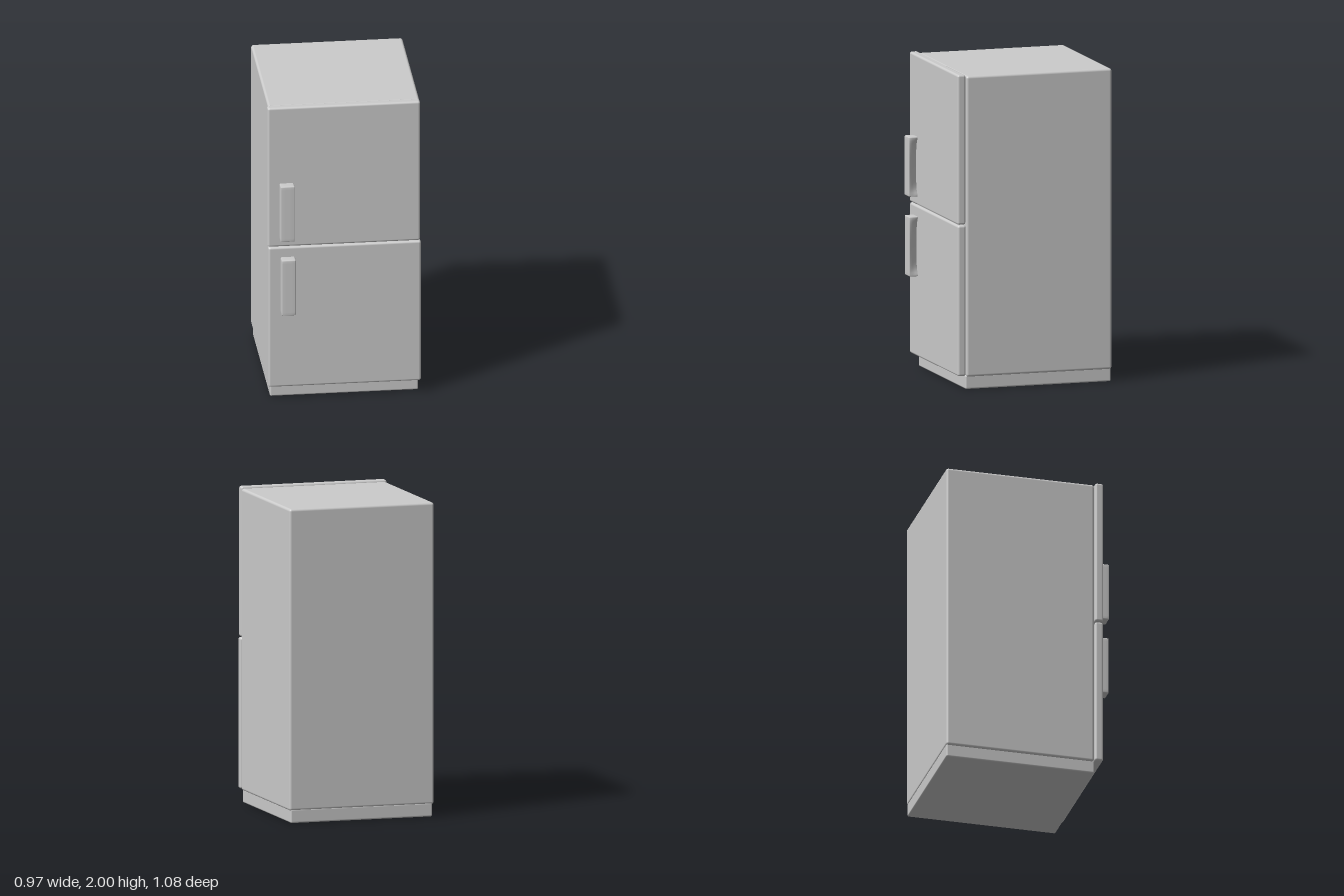
import * as THREE from 'three';
import { RoundedBoxGeometry } from 'three/addons/geometries/RoundedBoxGeometry.js';
import { mergeVertices } from 'three/addons/utils/BufferGeometryUtils.js';

const material = new THREE.MeshStandardMaterial({ color: 0xcccccc });

// Rounded block given by its limits on each axis
function block(name, [x0, x1], [y0, y1], [z0, z1], radius) {
  const geometry = new RoundedBoxGeometry(x1 - x0, y1 - y0, z1 - z0, 4, radius);
  const mesh = new THREE.Mesh(geometry, material);
  mesh.name = name;
  mesh.position.set((x0 + x1) / 2, (y0 + y1) / 2, (z0 + z1) / 2);
  return mesh;
}

// Handle: softened box with a finger scoop hollowed into its inner side
function handleGeometry(w, h, d, r) {
  const half = [w / 2, h / 2, d / 2], segs = [5, 24, 5];
  let g = new THREE.BoxGeometry(w, h, d, ...segs);
  g.deleteAttribute('uv');
  g.deleteAttribute('normal');
  g = mergeVertices(g);
  const pos = g.attributes.position;
  for (let i = 0; i < pos.count; i++) {
    let p = [pos.getX(i), pos.getY(i), pos.getZ(i)];
    const edge = p.map((v, k) => Math.abs(v) > half[k] - 1e-5);
    const onEdge = edge.filter(Boolean).length > 1;
    // tighten the rings next to the rims, then pull the rims in
    p = p.map((v, k) => edge[k]
      ? Math.sign(v) * (half[k] - (onEdge ? r * 0.3 : 0))
      : v * (half[k] - r) / (half[k] * (1 - 2 / segs[k])));
    const along = Math.max(0, 1 - (p[1] / (half[1] - 0.02)) ** 2);
    const back = THREE.MathUtils.clamp((half[2] - r - p[2]) / d, 0, 1);
    const inner = (p[0] + half[0]) / w;
    p[0] -= 0.04 * Math.sqrt(along) * back * inner;
    pos.setXYZ(i, ...p);
  }
  g.computeVertexNormals();
  return g;
}

export function createModel() {
  const group = new THREE.Group();
  group.name = 'refrigerator';

  // Cabinet on its plinth
  group.add(block('cabinet', [-0.477, 0.479], [0.078, 1.99], [-0.538, 0.423], 0.016));
  group.add(block('plinth', [-0.466, 0.47], [0, 0.088], [-0.535, 0.427], 0.01));

  // Two doors, each with a handle
  group.add(block('upperDoor', [-0.486, 0.477], [1.047, 2], [0.427, 0.481], 0.014));
  group.add(block('lowerDoor', [-0.481, 0.482], [0.085, 1.043], [0.427, 0.481], 0.014));
  const grip = handleGeometry(0.09, 0.38, 0.064, 0.007);
  for (const [name, x, y] of [['upperHandle', -0.366, 1.292], ['lowerHandle', -0.359, 0.786]]) {
    const handle = new THREE.Mesh(grip, material);
    handle.name = name;
    handle.position.set(x, y, 0.506);
    group.add(handle);
  }
  return group;
}
